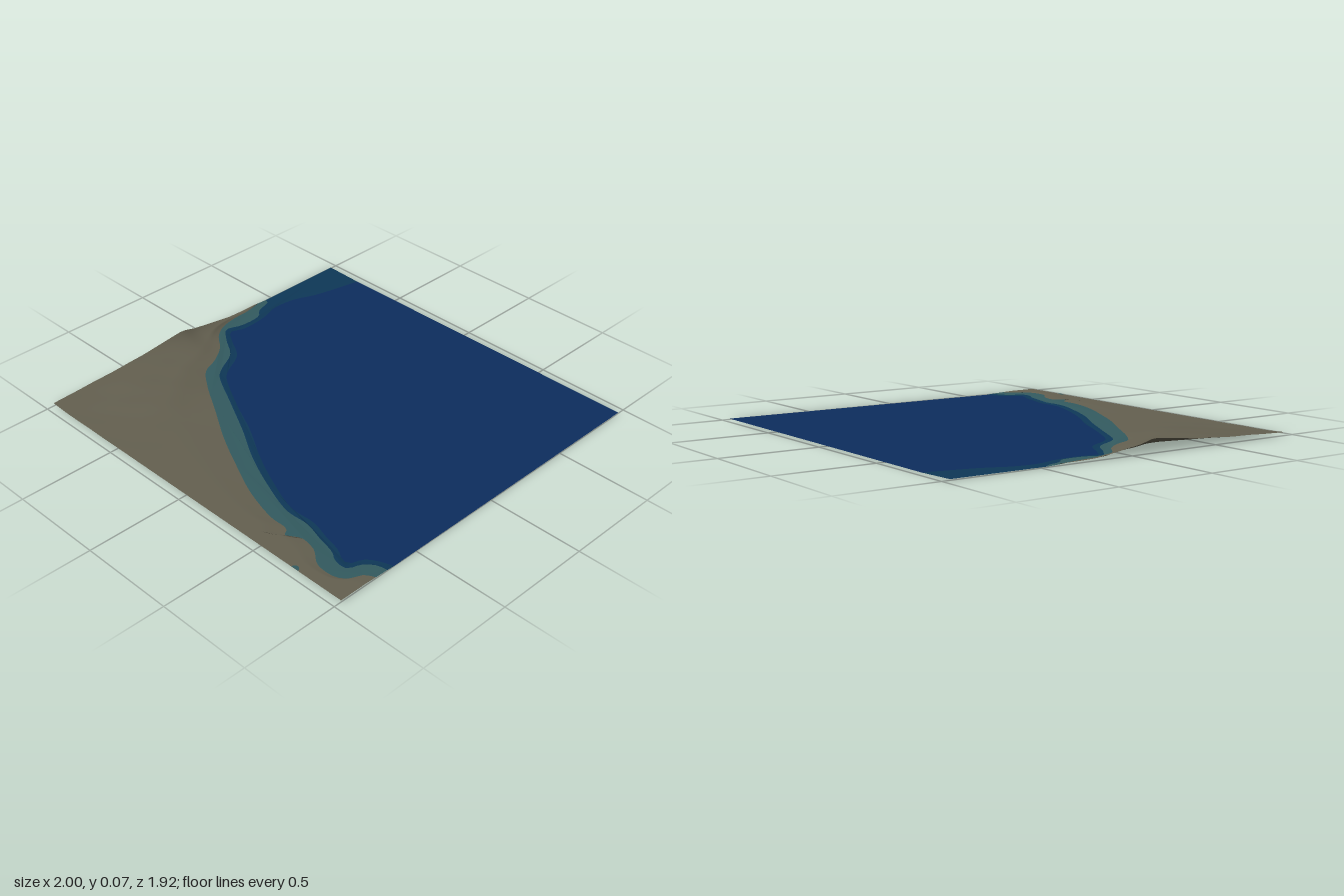
import * as THREE from 'three';

const HALF_Z = 0.96;
const SEGMENTS = 96, CORNER = 40, ROWS = 14;
const { lerp, smoothstep } = THREE.MathUtils;

const mat = (name, color) => {
  const m = new THREE.MeshStandardMaterial({ color, side: THREE.DoubleSide });
  m.name = name;
  return m;
};

// Smooth, evenly sampled contour at height y from [x, z] pairs
function contour(pairs, y) {
  const curve = new THREE.CatmullRomCurve3(pairs.map(([x, z]) => new THREE.Vector3(x, y, z)));
  return curve.getSpacedPoints(SEGMENTS);
}

// Contours from the dry shore outwards to deep water
const shore = contour([
  [-1, -0.4], [-0.98, -0.3], [-0.975, -0.2], [-0.95, -0.1], [-0.9, -0.03], [-0.81, 0.04],
  [-0.74, 0.14], [-0.7, 0.23], [-0.6, 0.31], [-0.4, 0.43], [-0.2, 0.55], [0, 0.65],
  [0.2, 0.74], [0.4, 0.795], [0.5, 0.8], [0.53, 0.84], [0.56, 0.84], [0.58, 0.8],
  [0.68, 0.81], [0.77, 0.87], [0.88, 0.87], [0.93, 0.83], [0.95, 0.78], [1, 0.75],
], 0.007);
const dropOff = contour([
  [-1, -0.46], [-0.975, -0.45], [-0.945, -0.36], [-0.905, -0.32], [-0.9, -0.19], [-0.925, -0.11],
  [-0.85, -0.04], [-0.73, 0.04], [-0.66, 0.16], [-0.62, 0.21], [-0.4, 0.33], [-0.19, 0.44],
  [0, 0.55], [0.2, 0.64], [0.41, 0.71], [0.54, 0.71], [0.65, 0.74], [0.75, 0.765],
  [0.8, 0.795], [0.87, 0.795], [0.9, 0.73], [0.95, 0.69], [1, 0.68],
], 0.004);
const deepEdge = contour([
  [-0.79, -0.96], [-0.85, -0.7], [-0.9, -0.57], [-0.91, -0.44], [-0.88, -0.34], [-0.87, -0.18],
  [-0.895, -0.11], [-0.83, -0.06], [-0.7, 0.02], [-0.63, 0.14], [-0.59, 0.19], [-0.38, 0.31],
  [-0.17, 0.41], [0.02, 0.52], [0.21, 0.61], [0.41, 0.68], [0.55, 0.68], [0.66, 0.71],
  [0.76, 0.735], [0.8, 0.76], [0.85, 0.765], [0.88, 0.7], [0.94, 0.66], [1, 0.64],
], 0.001);

// Ridge height along the left edge
const ridge = [[-0.4, 0.008], [-0.2, 0.012], [-0.05, 0.034], [0.05, 0.047], [0.12, 0.067],
  [0.15, 0.067], [0.25, 0.055], [0.4, 0.041], [0.6, 0.03], [0.96, 0.016]];
function ridgeHeight(z) {
  for (let i = 1; i < ridge.length; i++) {
    const [z0, h0] = ridge[i - 1], [z1, h1] = ridge[i];
    if (z <= z1) return lerp(h0, h1, Math.max(0, (z - z0) / (z1 - z0)));
  }
  return ridge[ridge.length - 1][1];
}

// Low plain, a plateau beside the hill, and the ridge falling away from the left edge
function landHeight(x, z) {
  const plateau = 0.011 * (1 - smoothstep(x, -0.64, -0.48))
    * smoothstep(z, 0, 0.25) * (1 - smoothstep(z, 0.5, 0.9));
  const low = 0.01 + plateau;
  const ripple = 0.0012 * Math.sin(x * 23 + z * 9) * Math.sin(z * 19) * (1 - smoothstep(x, -0.7, -0.3));
  return low + ripple + (ridgeHeight(z) - low) * Math.exp(-(x + 1) / 0.06);
}

function surface(points, index, material, name) {
  const geo = new THREE.BufferGeometry().setFromPoints(points);
  geo.setIndex(index);
  geo.computeVertexNormals();
  const mesh = new THREE.Mesh(geo, material);
  mesh.name = name;
  return mesh;
}

// Fills a closed outline, facing up
function fill(outline, material, name) {
  let flat = outline.map((p) => new THREE.Vector2(p.x, -p.z));
  if (THREE.ShapeUtils.isClockWise(flat)) {
    outline = [...outline].reverse();
    flat.reverse();
  }
  return surface(outline, THREE.ShapeUtils.triangulateShape(flat, []).flat(), material, name);
}

// Land lofted from the shore to the left and front edges
function buildLand(material) {
  const points = [], index = [];
  for (let i = 0; i <= SEGMENTS; i++) {
    const s = shore[i];
    const edge = i <= CORNER
      ? [-1, lerp(-0.4, HALF_Z, i / CORNER)]
      : [lerp(-1, 1, (i - CORNER) / (SEGMENTS - CORNER)), HALF_Z];
    for (let j = 0; j <= ROWS; j++) {
      const t = j / ROWS;
      const x = lerp(s.x, edge[0], t), z = lerp(s.z, edge[1], t);
      points.push(new THREE.Vector3(x, lerp(s.y, landHeight(x, z), Math.min(1, t * 3.5)), z));
      if (i < SEGMENTS && j < ROWS) {
        const a = i * (ROWS + 1) + j, b = a + ROWS + 1;
        index.push(a, a + 1, b, b, a + 1, b + 1);
      }
    }
  }
  return surface(points, index, material, 'land');
}

export function createModel() {
  const group = new THREE.Group();
  group.name = 'coastalTerrain';
  const deep = mat('deepWater', 0x0d2d5e);
  const shelf = mat('shelfWater', 0x0e3858);
  const shallow = mat('shallowWater', 0x335b60);
  const earth = mat('earth', 0x646050);

  const backLeft = new THREE.Vector3(-1, 0.006, -HALF_Z);
  const backRight = new THREE.Vector3(1, 0.005, -HALF_Z);

  group.add(
    buildLand(earth),
    fill([...shore, ...[...dropOff].reverse()], shallow, 'shallows'),
    fill([backLeft, ...dropOff, ...[...deepEdge].reverse()], shelf, 'shelf'),
    fill([...deepEdge, backRight], deep, 'deepSea'),
  );

  // Small pool at the front edge
  const pool = new THREE.Mesh(new THREE.CircleGeometry(0.02, 12, 0, Math.PI), shallow);
  pool.name = 'pool';
  pool.rotation.x = -Math.PI / 2;
  pool.position.set(0.72, 0.0115, HALF_Z);
  group.add(pool);

  // Stand the lowest point on the ground
  const drop = new THREE.Box3().setFromObject(group).min.y;
  group.children.forEach((m) => { m.position.y -= drop; });
  return group;
}
